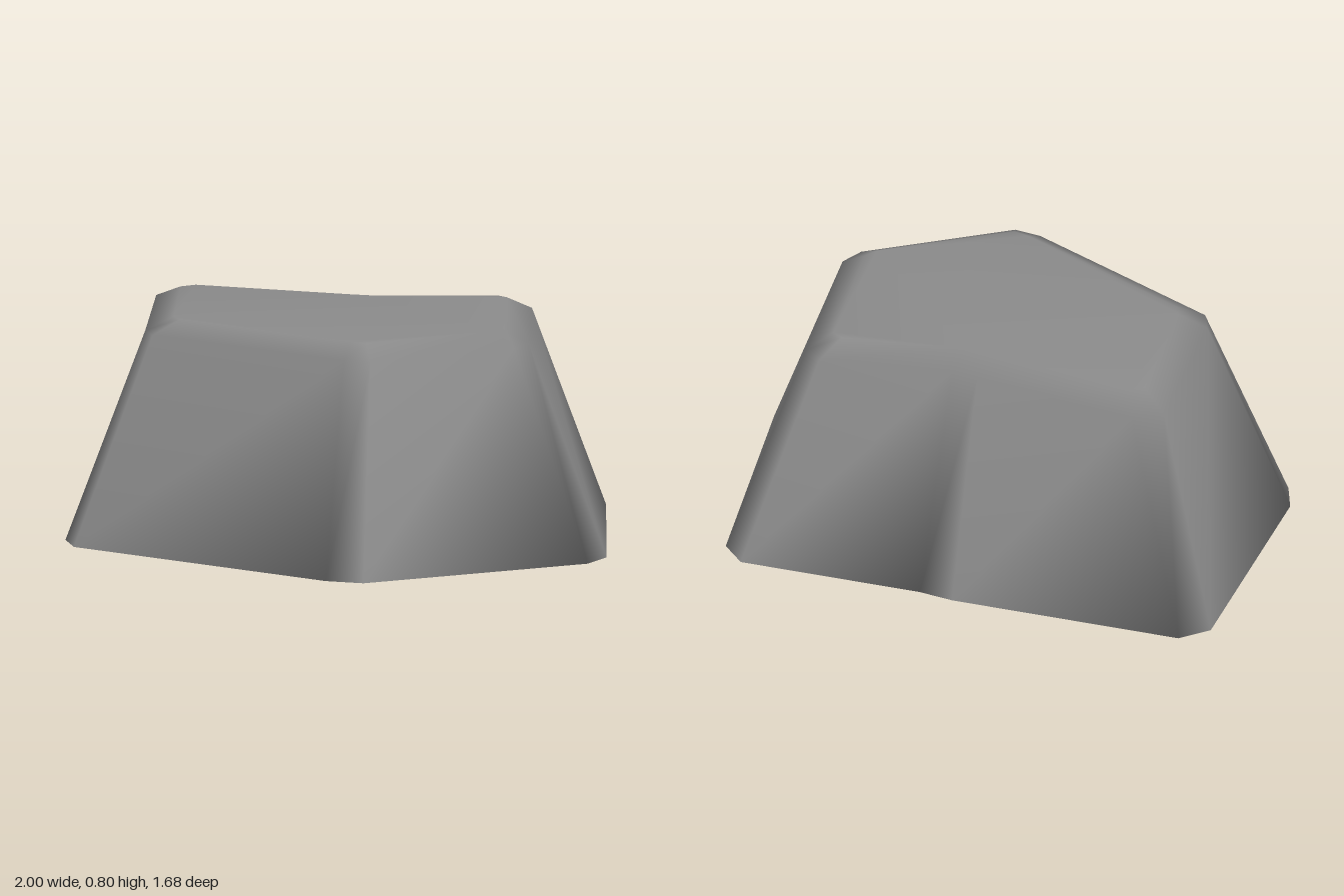
import * as THREE from 'three';

// Three horizontal outlines [x, z]: every corner of the boulder is clipped into two points
const rings = [
  { y: 0, pts: [[-0.91, -0.845], [-0.05, -0.845], [0.08, -0.825], [0.76, -0.825], [0.85, -0.73], [1, 0.235],
    [0.95, 0.36], [0.21, 0.84], [0.07, 0.82], [-0.92, 0.335], [-0.97, 0.21], [-1, -0.75]] },
  { y: 0.75, pts: [[-0.66, -0.635], [-0.04, -0.54], [0.06, -0.525], [0.54, -0.6], [0.61, -0.54], [0.7, 0.12],
    [0.66, 0.21], [0.19, 0.545], [0.09, 0.53], [-0.66, 0.17], [-0.7, 0.08], [-0.76, -0.57]] },
  { y: 0.8, pts: [[-0.61, -0.53], [-0.04, -0.44], [0.05, -0.43], [0.49, -0.5], [0.53, -0.47], [0.61, 0.1],
    [0.58, 0.15], [0.16, 0.445], [0.1, 0.43], [-0.57, 0.11], [-0.6, 0.06], [-0.66, -0.49]] },
];

function boulderGeometry() {
  const n = rings[0].pts.length;
  const positions = [];
  const index = [];
  for (const { y, pts } of rings) for (const [x, z] of pts) positions.push(x, y, z);

  // Sloping sides and bevelled rim
  for (let r = 0; r < rings.length - 1; r++) {
    for (let i = 0; i < n; i++) {
      const a = r * n + i;
      const b = r * n + (i + 1) % n;
      index.push(a, a + n, b, b, a + n, b + n);
    }
  }

  // Flat caps, sharing their corners with the sides so the shading stays smooth
  const cap = (r, up) => {
    const outline = rings[r].pts.map(([x, z]) => new THREE.Vector2(x, z));
    for (const [a, b, c] of THREE.ShapeUtils.triangulateShape(outline, [])) {
      const facesDown = THREE.ShapeUtils.area([outline[a], outline[b], outline[c]]) > 0;
      const tri = facesDown === up ? [a, c, b] : [a, b, c];
      index.push(...tri.map((v) => v + r * n));
    }
  };
  cap(0, false);
  cap(rings.length - 1, true);

  const geometry = new THREE.BufferGeometry();
  geometry.setAttribute('position', new THREE.Float32BufferAttribute(positions, 3));
  geometry.setIndex(index);
  geometry.computeVertexNormals();
  return geometry;
}

export function createModel() {
  const stone = new THREE.MeshStandardMaterial({ color: 0x8a8a8a });
  stone.name = 'stoneGrey';

  const boulder = new THREE.Mesh(boulderGeometry(), stone);
  boulder.name = 'boulder';

  const group = new THREE.Group();
  group.name = 'rock';
  group.add(boulder);
  return group;
}
